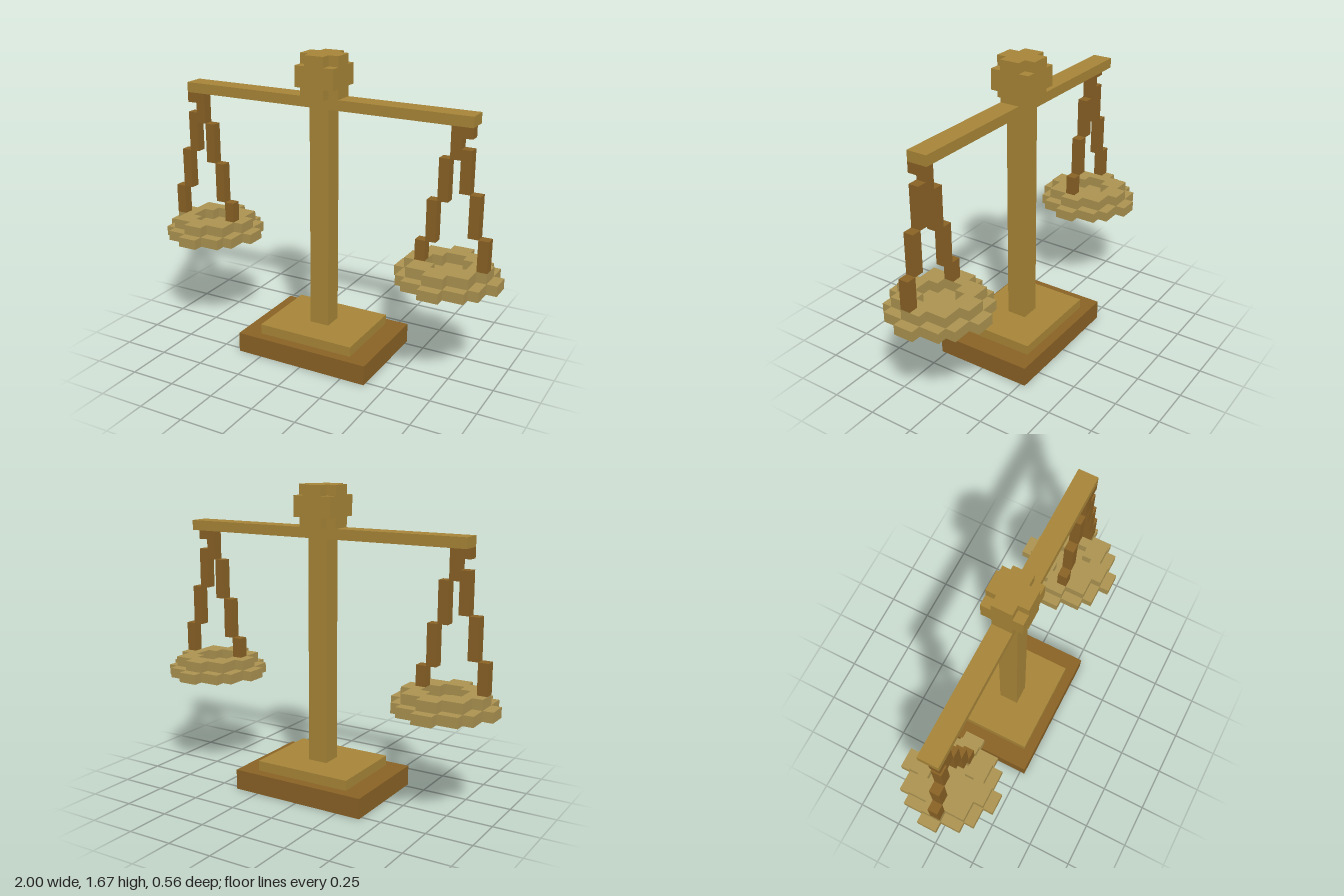
import * as THREE from 'three';

// All sizes are in block units; the whole model is 36 blocks wide.
const UNIT = 1 / 18;

const gold = new THREE.MeshStandardMaterial({ color: 0xa88638, flatShading: true });
const brown = new THREE.MeshStandardMaterial({ color: 0x8a6225, flatShading: true });
const brass = new THREE.MeshStandardMaterial({ color: 0xac9350, flatShading: true });

// Box given by its lower and upper bounds on each axis
function block(name, material, [x0, x1], [y0, y1], [z0, z1]) {
  const geometry = new THREE.BoxGeometry(x1 - x0, y1 - y0, z1 - z0);
  geometry.translate((x0 + x1) / 2, (y0 + y1) / 2, (z0 + z1) / 2);
  const mesh = new THREE.Mesh(geometry, material);
  mesh.name = name;
  return mesh;
}

// Stepped round outline: halves[i] is the half width of the i-th row from the middle
function steppedOutline(halves) {
  const quarter = [];
  halves.forEach((h, i) => {
    if (i > 0 && h !== halves[i - 1]) quarter.push([h, i]);
    if (h !== halves[i + 1]) quarter.push([h, i + 1]);
  });
  const back = [...quarter].reverse();
  return [
    ...quarter.map(([x, y]) => new THREE.Vector2(x, y)),
    ...back.map(([x, y]) => new THREE.Vector2(-x, y)),
    ...quarter.map(([x, y]) => new THREE.Vector2(-x, -y)),
    ...back.map(([x, y]) => new THREE.Vector2(x, -y)),
  ];
}

// Flat slab with a stepped outline and an optional stepped hole
function slab(name, material, halves, y, height, hole) {
  const shape = new THREE.Shape(steppedOutline(halves));
  if (hole) shape.holes.push(new THREE.Path(steppedOutline(hole)));
  const geometry = new THREE.ExtrudeGeometry(shape, { depth: height, bevelEnabled: false });
  geometry.rotateX(-Math.PI / 2).translate(0, y, 0);
  const mesh = new THREE.Mesh(geometry, material);
  mesh.name = name;
  return mesh;
}

// Pan with its raised rim, hung on two stepped chains; side is +1 or -1
function createHangingPan(side) {
  const group = new THREE.Group();
  group.name = side > 0 ? 'leftHangingPan' : 'rightHangingPan';

  const pan = new THREE.Group();
  pan.name = 'pan';
  pan.position.x = side * 13;
  pan.add(
    slab('panFloor', brass, [5, 4, 4, 3, 1], 10, 1),
    slab('panRim', brass, [4, 3, 3, 1], 11, 1, [2, 1]),
  );
  group.add(pan);

  // Links: distance from the middle, bottom, top
  const links = {
    hook: [[14, 24, 25]],
    outerChainLink: [[14, 19, 23], [15, 15, 19], [16, 12, 15]],
    innerChainLink: [[13, 22, 25], [12, 18, 22], [11, 14, 18], [10, 12, 14]],
  };
  for (const [name, list] of Object.entries(links)) {
    for (const [x, y0, y1] of list) {
      const span = side > 0 ? [x, x + 1] : [-x - 1, -x];
      group.add(block(name, brown, span, [y0, y1], [0, 1]));
    }
  }
  return group;
}

export function createModel() {
  const model = new THREE.Group();
  model.name = 'balanceScale';

  // Stand and beam
  model.add(
    block('base', brown, [-7, 7], [0, 2], [-5, 5]),
    block('baseStep', gold, [-5, 5], [2, 3], [-4, 4]),
    block('post', gold, [-1, 1], [3, 25], [-1, 1]),
    block('beam', gold, [-15, 15], [25, 26], [-1, 1]),
  );

  // Knob: a cube with its eight corners cut away
  const knob = new THREE.Group();
  knob.name = 'knob';
  knob.add(
    slab('knobBottom', gold, [2, 1], 26, 1),
    slab('knobMiddle', gold, [2, 2], 27, 2),
    slab('knobTop', gold, [2, 1], 29, 1),
  );
  model.add(knob);

  for (const side of [-1, 1]) model.add(createHangingPan(side));

  model.scale.setScalar(UNIT);
  return model;
}
